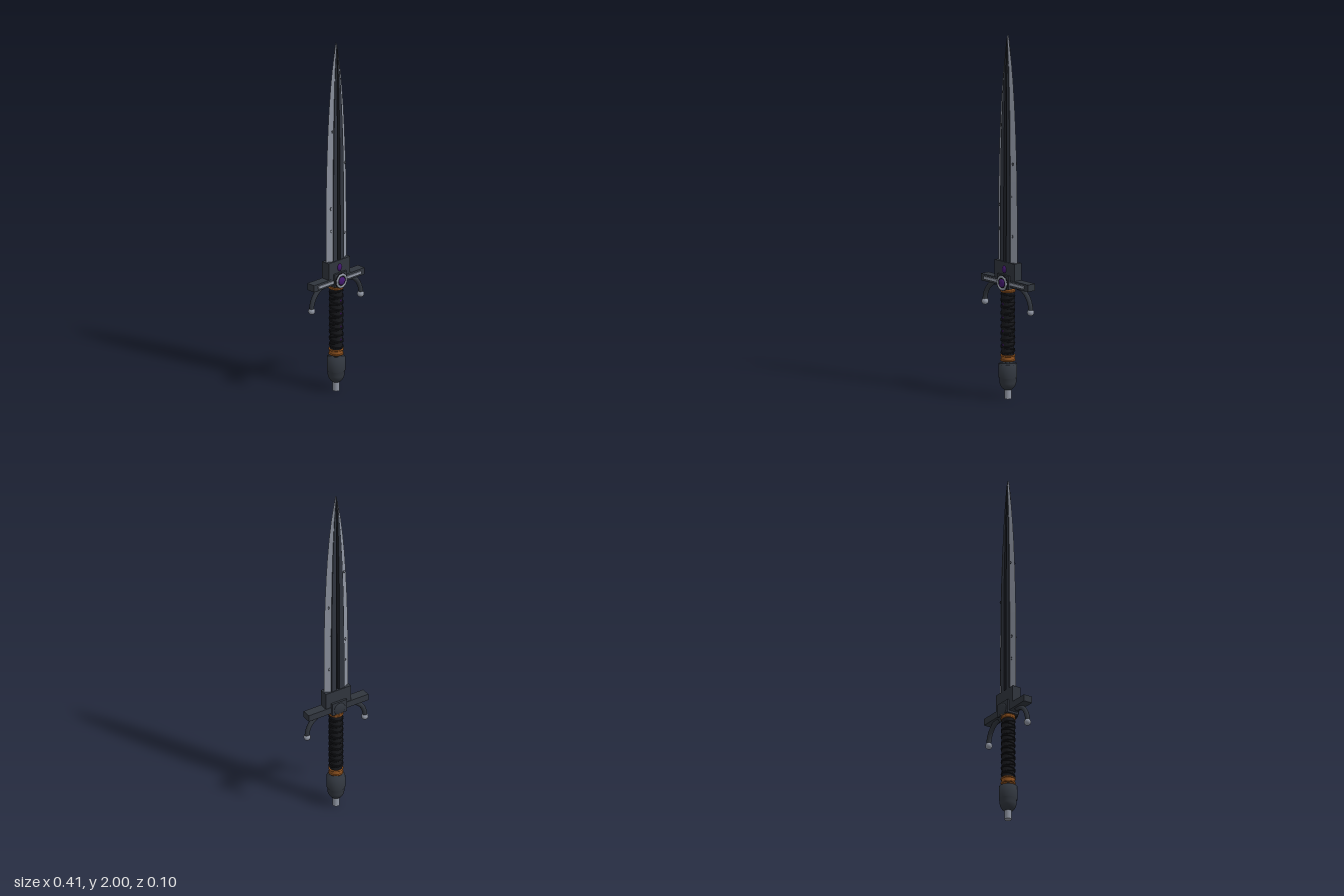
import * as THREE from 'three';

const mat = (color, side = THREE.FrontSide, flatShading = false) =>
  new THREE.MeshStandardMaterial({ color, side, flatShading });
const STEEL = mat(0x9096a3), DARK = mat(0x30353d), BLACK = mat(0x17181c);
const COPPER = mat(0x925420), PURPLE = mat(0x43186e);
const BLADE_EDGE = mat(0x8f95a2, THREE.DoubleSide, true);
const BLADE_CORE = mat(0x30353f, THREE.DoubleSide, true);
const BLADE_FULLER = mat(0x17191f, THREE.DoubleSide, true);

// Blade stations: [height, half width, half thickness]
const STATIONS = [
  [0.74, 0.076, 0.021], [1.0, 0.077, 0.021], [1.2, 0.074, 0.02], [1.35, 0.069, 0.02],
  [1.5, 0.062, 0.018], [1.62, 0.054, 0.016], [1.74, 0.043, 0.014], [1.84, 0.031, 0.011],
  [1.92, 0.018, 0.009], [1.97, 0.008, 0.007], [2.0, 0, 0.003],
];

// Lofts an open section of [width fraction, thickness fraction] along the blade
function bladeStrip(section) {
  const pos = [], index = [], n = section.length;
  for (const [y, w, t] of STATIONS) for (const [a, b] of section) pos.push(a * w, y, b * t);
  for (let i = 0; i < STATIONS.length - 1; i++) {
    for (let j = 0; j < n - 1; j++) {
      const a = i * n + j;
      index.push(a, a + 1, a + n, a + 1, a + n + 1, a + n);
    }
  }
  const g = new THREE.BufferGeometry();
  g.setAttribute('position', new THREE.Float32BufferAttribute(pos, 3));
  g.setIndex(index);
  g.computeVertexNormals();
  return g;
}

export function createModel() {
  const model = new THREE.Group();
  model.name = 'dagger';
  const add = (name, geometry, material, x = 0, y = 0, z = 0, parent = model) => {
    const m = new THREE.Mesh(geometry, material);
    m.name = name;
    m.position.set(x, y, z);
    parent.add(m);
    return m;
  };
  const box = (w, h, d) => new THREE.BoxGeometry(w, h, d);
  const cyl = (r1, r2, h, n = 24) => new THREE.CylinderGeometry(r1, r2, h, n);

  // Blade: bright bevels, dark core and a recessed fuller on both faces
  const blade = new THREE.Group();
  blade.name = 'blade';
  model.add(blade);
  for (const f of [1, -1]) {
    for (const s of [1, -1]) {
      add('bladeEdge', bladeStrip([[s, 0], [s * 0.54, f * 0.8]]), BLADE_EDGE, 0, 0, 0, blade);
      add('bladeCore', bladeStrip([[s * 0.54, f * 0.8], [s * 0.52, f], [s * 0.14, f]]),
        BLADE_CORE, 0, 0, 0, blade);
    }
    add('fuller', bladeStrip([[0.14, f], [0, f * 0.4], [-0.14, f]]), BLADE_FULLER, 0, 0, 0, blade);
  }

  // Small nicks scattered on the bevels
  const nicks = [[-0.05, 0.93], [-0.052, 1.06], [-0.036, 1.23], [-0.042, 1.5],
    [0.05, 0.9], [0.042, 1.12], [0.054, 1.3]];
  for (const [x, y] of nicks) {
    for (const f of [1, -1]) {
      const nick = add('bladeNick', new THREE.TorusGeometry(0.008, 0.0015, 4, 10), DARK,
        x, y, f * 0.013, blade);
      nick.scale.x = 0.6;
    }
  }

  // Guard: blade collar, cross bar, centre block
  add('bladeCollar', box(0.16, 0.095, 0.05), DARK, 0, 0.708, 0);
  add('crossBar', box(0.38, 0.038, 0.052), DARK, 0, 0.641, -0.001);
  add('barInlay', box(0.32, 0.016, 0.01), STEEL, 0, 0.641, 0.026);
  add('centreBlock', box(0.092, 0.075, 0.074), DARK, 0, 0.648, 0);

  // Round medallion with gem in front, plain boss behind
  add('medallionBase', cyl(0.042, 0.042, 0.012, 32), BLACK, 0, 0.641, 0.037).rotation.x = Math.PI / 2;
  add('medallionRing', new THREE.TorusGeometry(0.034, 0.007, 10, 36), STEEL, 0, 0.641, 0.041);
  add('medallionGem', new THREE.SphereGeometry(0.023, 20, 12), PURPLE, 0, 0.641, 0.043).scale.z = 0.4;
  add('backBoss', new THREE.SphereGeometry(0.036, 20, 12), DARK, 0, 0.641, -0.034).scale.z = 0.3;
  add('collarGem', new THREE.SphereGeometry(0.015, 16, 10), PURPLE, 0, 0.714, 0.026).scale.set(1, 1.4, 0.6);

  // Drooping quillon arms with ball ends
  for (const s of [1, -1]) {
    const pts = [];
    for (let i = 0; i <= 10; i++) {
      const a = (i / 10) * Math.PI / 2;
      pts.push(new THREE.Vector3(s * (0.08 + 0.105 * Math.sin(a)), 0.51 + 0.115 * Math.cos(a), 0));
    }
    const path = new THREE.CatmullRomCurve3(pts);
    add('quillonArm', new THREE.TubeGeometry(path, 24, 0.013, 10), DARK);
    add('quillonBall', new THREE.SphereGeometry(0.019, 18, 12), STEEL, s * 0.184, 0.505, 0);
  }

  // Grip with two crossing spiral wraps
  add('grip', cyl(0.036, 0.034, 0.39, 20), BLACK, 0, 0.415, 0);
  for (const s of [1, -1]) {
    const pts = [];
    for (let i = 0; i <= 108; i++) {
      const a = s * (i / 12) * Math.PI * 2;
      pts.push(new THREE.Vector3(0.036 * Math.sin(a), 0.25 + 0.33 * i / 108, 0.036 * Math.cos(a)));
    }
    add('gripWrap', new THREE.TubeGeometry(new THREE.CatmullRomCurve3(pts), 216, 0.004, 6), BLACK);
  }
  for (let i = 0; i < 4; i++) {
    add('gripStud', new THREE.OctahedronGeometry(0.008), PURPLE, 0, 0.3 + i * 0.075, 0.036).scale.z = 0.5;
  }

  // Copper bands at both ends of the grip
  for (const [y, h] of [[0.603, 0.02], [0.226, 0.026]]) {
    add('gripBand', cyl(0.037, 0.037, h), COPPER, 0, y, 0);
    for (const e of [-1, 1]) {
      add('bandRim', new THREE.TorusGeometry(0.036, 0.005, 8, 28), COPPER, 0, y + e * h / 2, 0)
        .rotation.x = Math.PI / 2;
    }
  }

  // Pommel: slim neck, rounded cup and steel end pin
  add('pommelNeck', cyl(0.012, 0.012, 0.05), DARK, 0, 0.202, 0);
  const profile = [[0, 0.192], [0.05, 0.192], [0.05, 0.118], [0.046, 0.118]];
  for (let i = 1; i <= 8; i++) {
    const a = (i / 8) * Math.PI / 2;
    profile.push([0.046 * Math.cos(a), 0.1 - 0.055 * Math.sin(a)]);
  }
  const cup = new THREE.LatheGeometry(profile.reverse().map(([r, y]) => new THREE.Vector2(Math.max(r, 0), y)), 32);
  add('pommel', cup, DARK);
  add('pommelPin', cyl(0.019, 0.019, 0.06, 16), STEEL, 0, 0.03, 0);

  return model;
}
